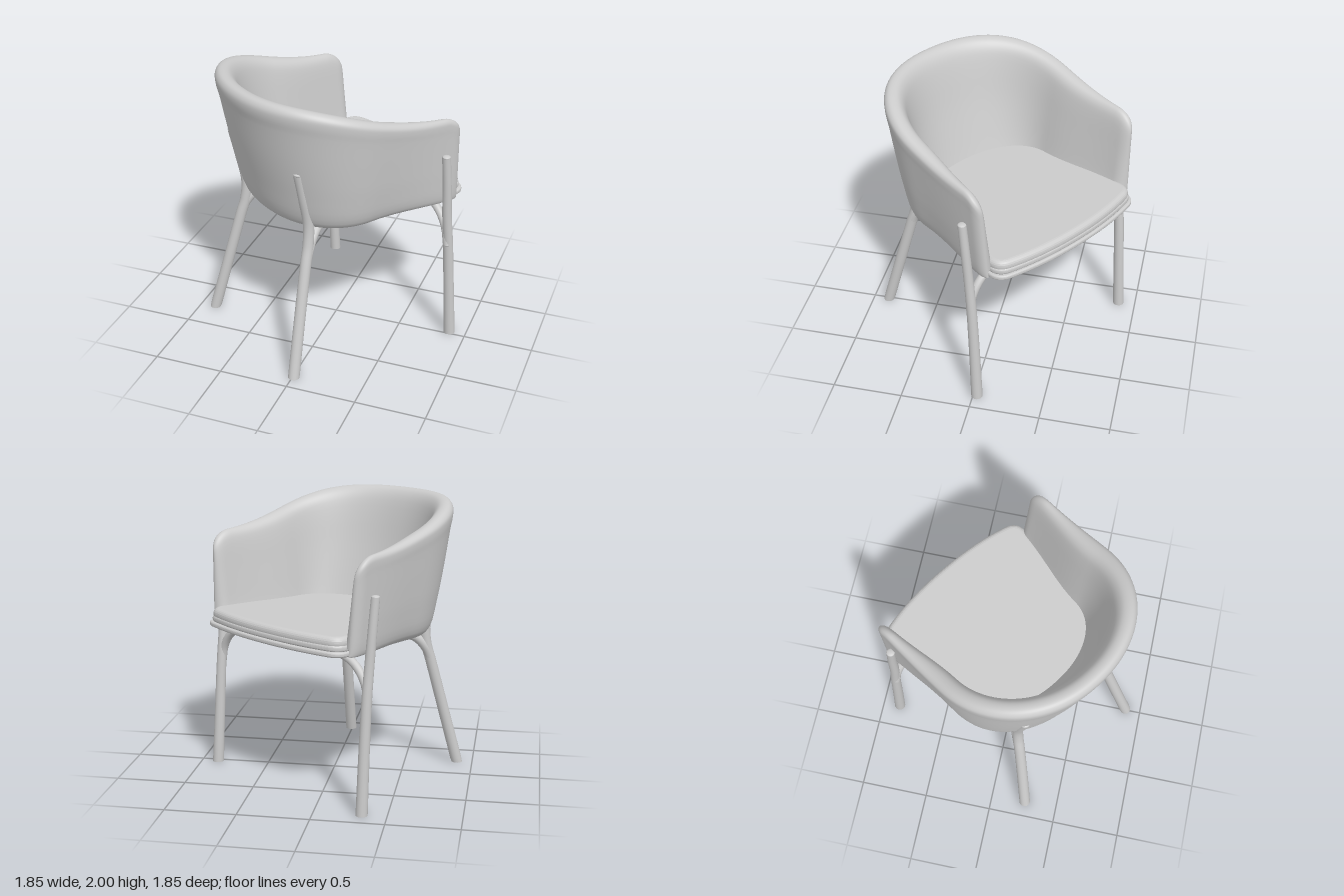
import * as THREE from 'three';

const mat = new THREE.MeshStandardMaterial({ color: 0xcccccc });
const matTwo = new THREE.MeshStandardMaterial({ color: 0xcccccc, side: THREE.DoubleSide });
const V = (x, y, z) => new THREE.Vector3(x, y, z);
const { lerp, smoothstep, degToRad } = THREE.MathUtils;

function named(name, geometry, material = mat) {
  const m = new THREE.Mesh(geometry, material);
  m.name = name;
  return m;
}

// Wrap-around shell: one wall section (outside, over the rim, inside) swept round a U-shaped plan
function shellGeometry() {
  // half width, depth of the back, relative height
  const section = new THREE.CatmullRomCurve3([
    [0.50, 0.38, 0], [0.585, 0.455, 0.01], [0.632, 0.505, 0.07], [0.674, 0.565, 0.3],
    [0.703, 0.622, 0.55], [0.73, 0.675, 0.82], [0.74, 0.697, 0.91], [0.738, 0.697, 0.96],
    [0.715, 0.677, 0.992], [0.68, 0.643, 1], [0.643, 0.603, 0.985], [0.613, 0.568, 0.94],
    [0.592, 0.535, 0.85], [0.555, 0.46, 0.55], [0.52, 0.37, 0.25], [0.50, 0.32, 0.1],
  ].map(p => V(...p)));
  const profile = section.getPoints(60);

  // Stations of one half, front end first: straight arm, then quarter of the back
  const half = [];
  for (let i = 0; i < 14; i++) half.push({ f: 0.4 + 0.155 * Math.cos(i / 14 * Math.PI / 2), phi: 0 });
  for (let i = 0; i < 8; i++) half.push({ f: lerp(0.4, -0.1, i / 8), phi: 0 });
  for (let i = 0; i <= 24; i++) half.push({ f: -0.1, phi: i / 24 * Math.PI / 2 });
  const stations = [
    ...half.map(s => ({ ...s, side: 1 })),
    ...half.slice(0, -1).reverse().map(s => ({ ...s, side: -1 })),
  ];

  const pos = [], index = [], n = profile.length;
  stations.forEach((s, i) => {
    const c = Math.max(0, Math.cos(s.phi)) ** 0.93, d = Math.sin(s.phi) ** 0.93;
    const rimF = s.f - 0.69 * d;
    const front = smoothstep(s.f, -0.1, 0.56);
    // rounded upper corner and rounded thickness at the arm end
    const q = Math.max(0, (s.f - 0.4) / 0.155), r = Math.max(0, (s.f - 0.48) / 0.075);
    const drop = 0.14 * (1 - Math.sqrt(Math.max(0, 1 - q * q)));
    const keep = Math.sqrt(Math.max(0, 1 - r * r));
    const top = 1.74 + 0.26 * smoothstep((0.6 - rimF) / 1.39, 0, 1) ** 1.3 - drop;
    profile.forEach((p, j) => {
      // the walls stand more upright towards the arm ends
      let a = p.x + front * lerp(0.75, 0.4, j / (n - 1)) * (0.735 - p.x);
      a = lerp(lerp(0.665, 0.69, p.z), a, keep);
      const f = s.f - p.y * d + 0.025 * front * (1 - p.z);
      const bottom = 1.04 + 0.04 * (f + 0.6);
      pos.push(s.side * a * c, lerp(bottom, top, p.z), f);
      if (i < stations.length - 1 && j < n - 1) {
        const k = i * n + j;
        index.push(k, k + n, k + 1, k + 1, k + n, k + n + 1);
      }
    });
  });
  const g = new THREE.BufferGeometry();
  g.setAttribute('position', new THREE.Float32BufferAttribute(pos, 3));
  g.setIndex(index);
  g.computeVertexNormals();
  return g;
}

// Seat plan with a bowed front edge and round back, shrunk by d, laid flat
function seatGeometry(d, thickness, bevel) {
  const w = 0.66 - d, s = new THREE.Shape();
  s.moveTo(0, 0.755 - d);
  s.quadraticCurveTo(0.32, 0.755 - d, w - 0.08, 0.69 - d);
  s.quadraticCurveTo(w, 0.665 - d, w, 0.58 - d);
  s.lineTo(0.59 - d, -0.05);
  s.absellipse(0, -0.05, 0.59 - d, 0.5 - d, 0, -Math.PI, true);
  s.lineTo(-w, 0.58 - d);
  s.quadraticCurveTo(-w, 0.665 - d, -w + 0.08, 0.69 - d);
  s.quadraticCurveTo(-0.32, 0.755 - d, 0, 0.755 - d);
  const g = new THREE.ExtrudeGeometry(s, {
    depth: thickness - 2 * bevel, bevelSize: bevel, bevelThickness: bevel,
    bevelOffset: -bevel, bevelSegments: 5, curveSegments: 24,
  });
  return g.rotateX(Math.PI / 2).translate(0, thickness - bevel, 0);
}

// Round bar along a smooth path, tapering from r0 to r1, with rounded far end
function bar(name, points, r0, r1, foot = false) {
  const group = new THREE.Group();
  group.name = name;
  const curve = new THREE.CatmullRomCurve3(points, false, 'centripetal');
  const rows = 40, sides = 16;
  const g = new THREE.TubeGeometry(curve, rows, 1, sides);
  const p = g.attributes.position, v = V(0, 0, 0);
  for (let i = 0; i <= rows; i++) {
    const c = curve.getPointAt(i / rows);
    for (let j = 0; j <= sides; j++) {
      const k = i * (sides + 1) + j;
      v.fromBufferAttribute(p, k).sub(c).multiplyScalar(lerp(r0, r1, i / rows)).add(c);
      if (foot && i === 0) v.y = 0;
      p.setXYZ(k, v.x, v.y, v.z);
    }
  }
  group.add(named('rod', g));
  const end = named('roundedEnd', new THREE.SphereGeometry(r1, 16, 10));
  end.position.copy(points[points.length - 1]);
  end.scale.y = 0.4;
  group.add(end);
  if (foot) {
    const sole = named('sole', new THREE.CircleGeometry(r0, 16).rotateX(Math.PI / 2));
    sole.position.copy(points[0]);
    group.add(sole);
  }
  return group;
}

export function createModel() {
  const chair = new THREE.Group();
  chair.name = 'chair';

  chair.add(named('shell', shellGeometry(), matTwo));

  const base = named('seatBase', seatGeometry(0, 0.036, 0.014));
  base.position.y = 1.066;
  base.rotation.x = -0.04;
  const cushionEdge = named('cushionEdge', seatGeometry(0.015, 0.05, 0.02));
  cushionEdge.position.y = 1.098;
  cushionEdge.rotation.x = -0.036;
  const cushion = named('seatCushion', seatGeometry(0.02, 0.085, 0.038));
  cushion.position.y = 1.122;
  cushion.rotation.x = -0.022;
  chair.add(base, cushionEdge, cushion);

  for (const s of [1, -1]) {
    const side = s > 0 ? 'left' : 'right';
    // legs run up the outside of the shell
    chair.add(bar(side + 'FrontLeg', [
      V(s * 0.737, 0, 0.526), V(s * 0.732, 0.4, 0.502), V(s * 0.73, 0.8, 0.475),
      V(s * 0.73, 1.0, 0.455), V(s * 0.738, 1.25, 0.435), V(s * 0.743, 1.475, 0.413),
    ], 0.041, 0.03, true));
    chair.add(bar(side + 'BackLeg', [
      V(s * 0.546, 0, -0.718), V(s * 0.487, 0.4, -0.625), V(s * 0.43, 0.8, -0.53),
      V(s * 0.412, 0.93, -0.497), V(s * 0.405, 1.08, -0.487), V(s * 0.412, 1.3, -0.528),
      V(s * 0.42, 1.5, -0.572),
    ], 0.041, 0.037, true));
    // bent branches carry the seat from behind
    chair.add(bar(side + 'BackBrace', [
      V(s * 0.432, 0.8, -0.53), V(s * 0.415, 0.9, -0.49), V(s * 0.375, 0.985, -0.42),
      V(s * 0.325, 1.022, -0.33), V(s * 0.26, 1.035, -0.21), V(s * 0.12, 1.045, 0.05),
    ], 0.035, 0.03));
  }

  // hoop joining the front legs under the seat
  const hoop = [[0.732, 0.77], [0.705, 0.89], [0.645, 0.98], [0.56, 1.037], [0.45, 1.062], [0.2, 1.072]];
  chair.add(bar('frontHoop', [
    ...hoop.map(([x, y]) => V(x, y, 0.465)),
    ...hoop.slice().reverse().map(([x, y]) => V(-x, y, 0.465)),
  ], 0.029, 0.029));

  // the chair stands turned on the floor
  chair.rotation.y = degToRad(145);
  chair.position.set(-0.027, 0, -0.019);
  const model = new THREE.Group();
  model.name = 'armchair';
  model.add(chair);
  return model;
}
